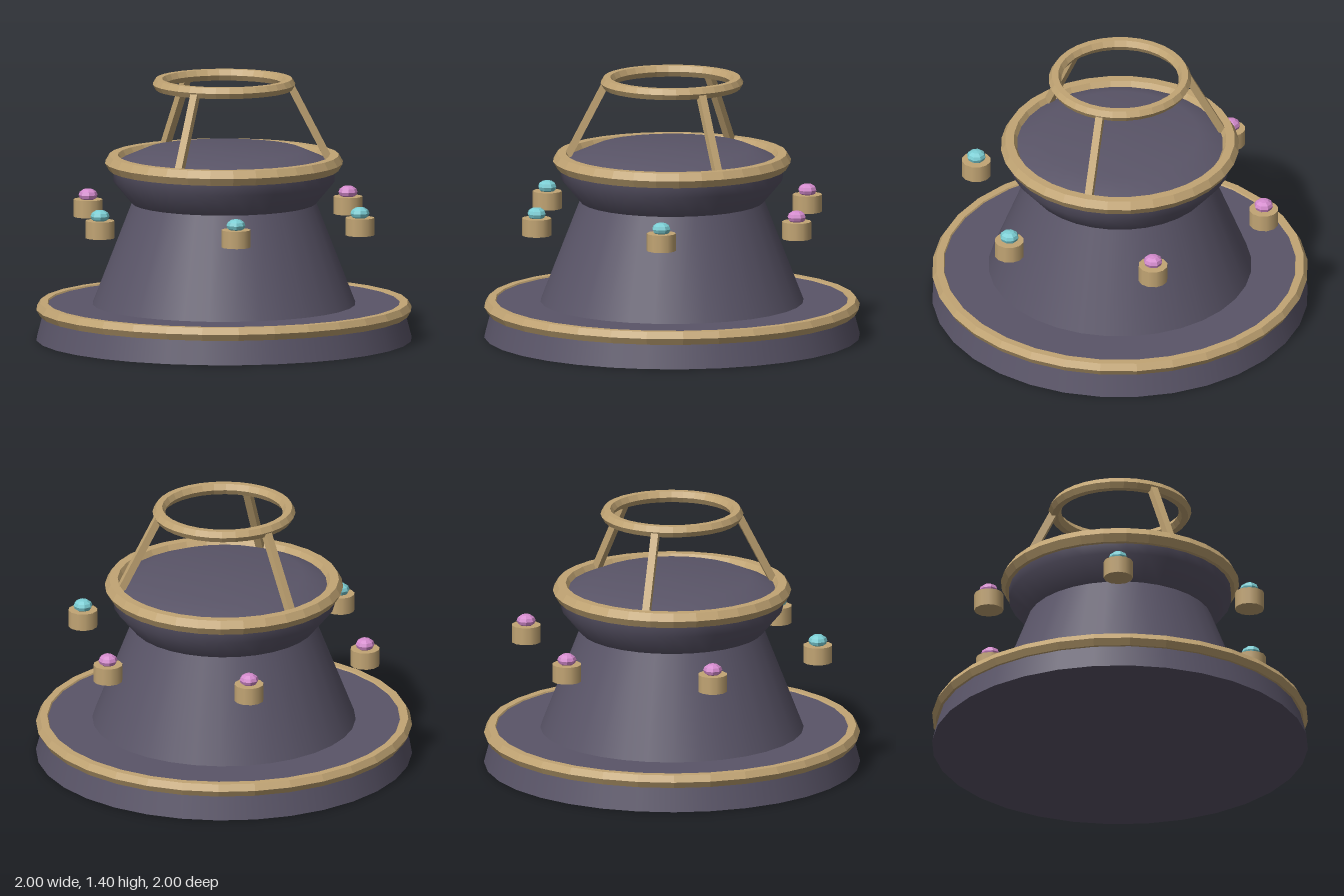
import * as THREE from 'three';

const mat = (name, color) => {
  const m = new THREE.MeshStandardMaterial({ color });
  m.name = name;
  return m;
};

export function createModel() {
  const model = new THREE.Group();
  model.name = 'pedestal';
  const slate = mat('slate', 0x5a5568);
  const brass = mat('brass', 0xc2a574);
  const cyan = mat('cyan gem', 0x7bcdd3);
  const pink = mat('pink gem', 0xd48bcd);
  const gemMaterials = [cyan, pink];
  gemMaterials.forEach((m) => { m.flatShading = true; });

  const add = (name, geometry, material, x = 0, y = 0, z = 0) => {
    const mesh = new THREE.Mesh(geometry, material);
    mesh.name = name;
    mesh.position.set(x, y, z);
    model.add(mesh);
    return mesh;
  };
  const lathe = (points) =>
    new THREE.LatheGeometry(points.map(([r, y]) => new THREE.Vector2(r, y)), 32);

  // Body: base disc, tapered column, flared bowl and shallow lid
  add('base', new THREE.CylinderGeometry(0.95, 1, 0.19, 32), slate, 0, 0.095);
  add('column', new THREE.CylinderGeometry(0.49, 0.7, 0.54, 32, 1, true), slate, 0, 0.46);
  add('bowl', lathe([[0.49, 0.73], [0.59, 0.85], [0.59, 0.945]]), slate);
  add('lid', lathe([[0.59, 0.94], [0.42, 1.013], [0, 1.015]]), slate);

  // Rings with a six-sided section
  const ring = (name, radius, tube, y) => {
    const geometry = new THREE.TorusGeometry(radius, tube, 6, 32).toNonIndexed();
    geometry.rotateX(-Math.PI / 2);
    geometry.computeVertexNormals();
    add(name, geometry, brass, 0, y);
  };
  ring('baseRing', 0.96, 0.04, 0.163);
  ring('collarRing', 0.588, 0.046, 0.947);
  ring('topRing', 0.346, 0.034, 1.367);

  // Three struts leaning in from the collar to the top ring
  for (let i = 0; i < 3; i++) {
    const a = (i * Math.PI * 2) / 3;
    const at = (r, y) => new THREE.Vector3(Math.cos(a) * r, y, Math.sin(a) * r);
    const low = at(0.565, 0.945), high = at(0.348, 1.367);
    const lean = Math.atan2(0.565 - 0.348, 1.367 - 0.945);
    const mid = low.clone().add(high).multiplyScalar(0.5);
    const strut = add('strut', new THREE.BoxGeometry(0.04, low.distanceTo(high), 0.04),
      brass, mid.x, mid.y, mid.z);
    strut.rotation.set(0, -a, lean);
  }

  // Six floating holders with gems: cyan in front, pink behind
  for (let i = 0; i < 6; i++) {
    const a = Math.PI / 6 + (i * Math.PI) / 3;
    const x = Math.cos(a) * 0.8, z = Math.sin(a) * 0.8;
    add('gemHolder', new THREE.CylinderGeometry(0.078, 0.078, 0.093, 12), brass, x, 0.652, z);
    const gem = add('gem', new THREE.SphereGeometry(0.051, 8, 6), z > 0 ? cyan : pink, x, 0.722, z);
    gem.scale.y = 0.68;
  }
  return model;
}
